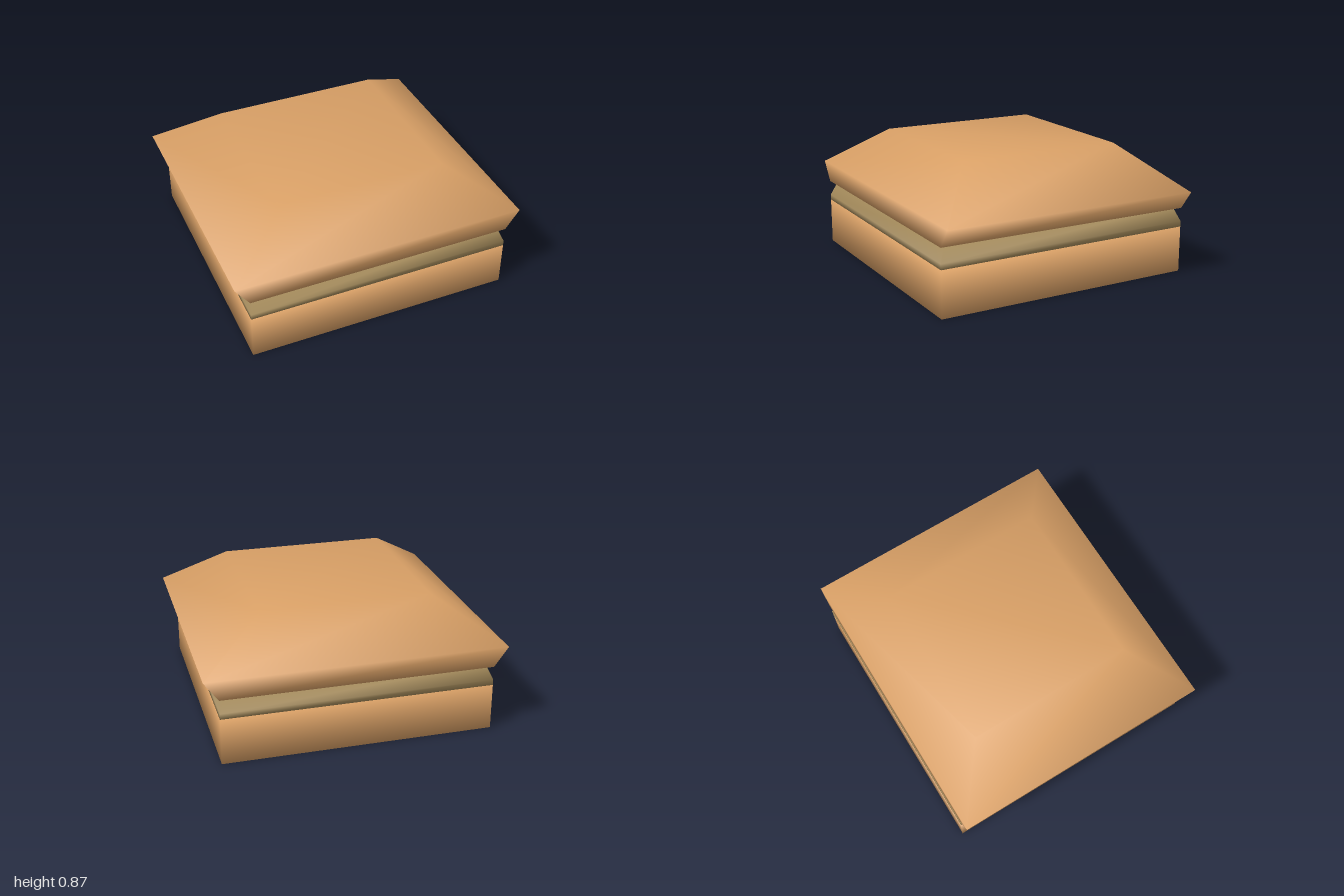
import * as THREE from 'three';

const BUN = 0xd9a066;
const FILLING = 0xa68c5c;

// Closed solid lofted through rectangular rings [y, halfX, halfZ, tilt], with
// shared corners so the normals are smooth; tilt raises the front, lowers the back.
function loft(name, color, rings) {
  const corners = [[-1, 1], [1, 1], [1, -1], [-1, -1]];
  const positions = [];
  const index = [];
  for (const [y, hx, hz, tilt = 0] of rings) {
    for (const [sx, sz] of corners) positions.push(sx * hx, y + sz * tilt, sz * hz);
  }
  for (let r = 0; r < rings.length - 1; r++) {
    for (let i = 0; i < 4; i++) {
      const a = r * 4 + i;
      const b = r * 4 + ((i + 1) % 4);
      index.push(a, b, b + 4, a, b + 4, a + 4);
    }
  }
  const t = (rings.length - 1) * 4;
  index.push(0, 2, 1, 0, 3, 2, t, t + 1, t + 2, t, t + 2, t + 3);

  const geometry = new THREE.BufferGeometry();
  geometry.setAttribute('position', new THREE.Float32BufferAttribute(positions, 3));
  geometry.setIndex(index);
  geometry.computeVertexNormals();
  const mesh = new THREE.Mesh(geometry, new THREE.MeshStandardMaterial({ color }));
  mesh.name = name;
  return mesh;
}

export function createModel() {
  const group = new THREE.Group();
  group.name = 'squareBurger';

  // Square slab at the bottom
  group.add(loft('bottomBun', BUN, [
    [0, 0.905, 0.905],
    [0.315, 0.905, 0.905],
  ]));

  // Patty that narrows towards the top bun
  group.add(loft('filling', FILLING, [
    [0.315, 0.905, 0.905],
    [0.353, 0.905, 0.905],
    [0.455, 0.862, 0.862],
  ]));

  // Faceted lid, widest at its sideways rim and very slightly tilted
  group.add(loft('topBun', BUN, [
    [0.451, 0.905, 0.905, 0.005],
    [0.583, 1.0, 0.905, 0.006],
    [0.871, 0.57, 0.57, 0.003],
  ]));

  return group;
}
